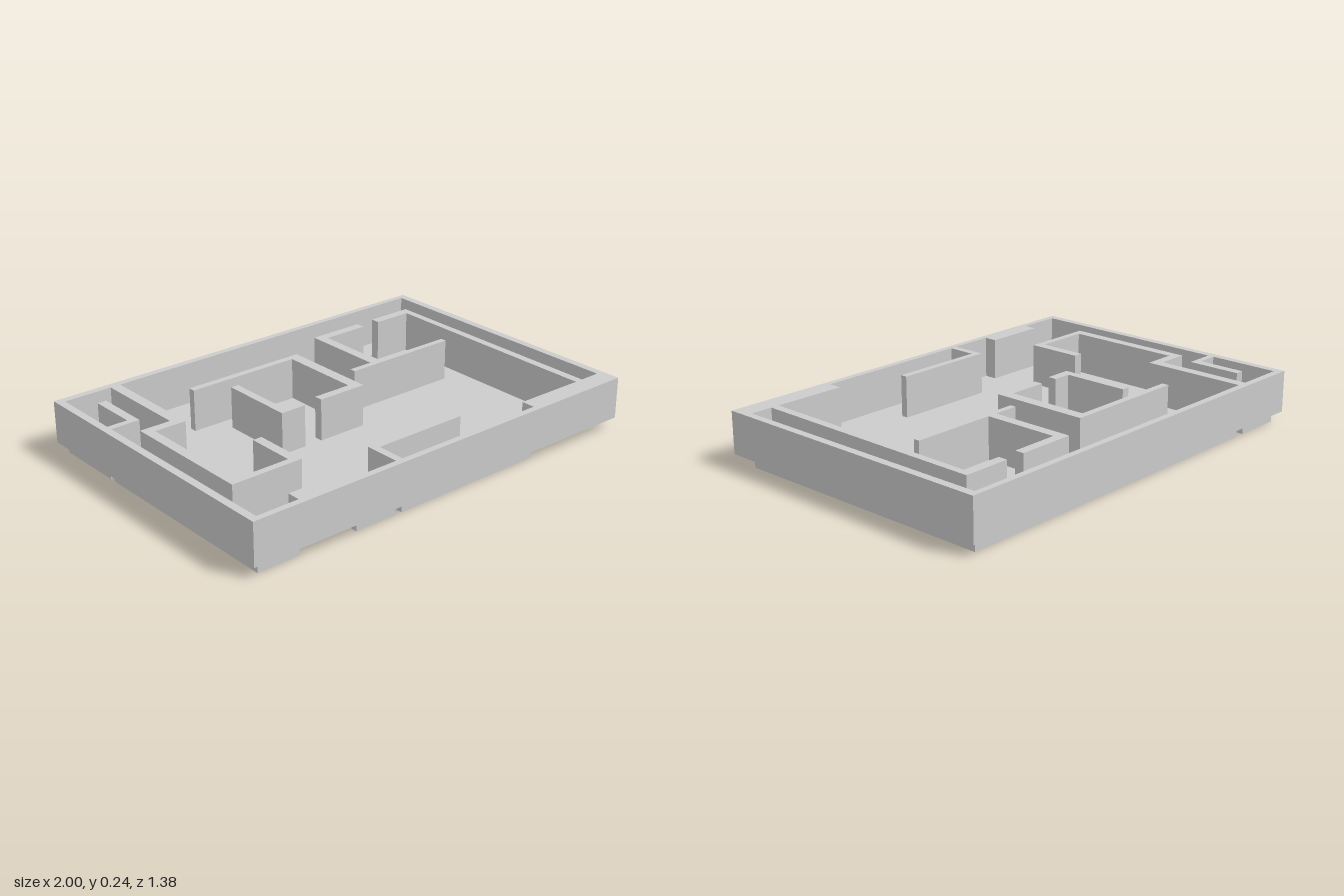
import * as THREE from 'three';

const FLOOR_TOP = 0.047;
const WALL_TOP = 0.238;

// Plan outlines as x, z pairs
const outer = [-1, 0.687, 1, 0.69, 0.994, -0.688, -1, -0.69];

// Edge of the floor, winding around every wall that grows out of the rim
const floorEdge = [
  // back left corner and long folded wall
  -0.965, -0.657, -0.74, -0.657, -0.74, -0.211, -0.885, -0.211, -0.885, 0.408, -0.548, 0.408,
  -0.548, 0.152, -0.591, 0.152, -0.591, 0.376, -0.84, 0.376, -0.84, -0.168, -0.692, -0.168,
  -0.692, -0.657,
  // back and right sides, with the long right wall
  0.958, -0.66, 0.965, 0.6, 0.865, 0.6, 0.868, -0.532,
  0.65, -0.532, 0.65, -0.489, 0.834, -0.489, 0.826, 0.6,
  // front side with its thick blocks and L-shaped wall
  0.494, 0.596, 0.494, 0.659, -0.249, 0.659, -0.249, 0.527, 0.197, 0.527, 0.197, 0.495,
  -0.283, 0.495, -0.283, 0.659, -0.485, 0.659, -0.485, 0.6, -0.768, 0.6, -0.768, 0.659,
  // left side with its small hooked wall
  -0.965, 0.659, -0.965, -0.3, -0.829, -0.3, -0.829, -0.553, -0.87, -0.553, -0.87, -0.329,
  -0.965, -0.329,
];

const islands = {
  centreHookWall: [
    -0.488, -0.43, 0.103, -0.43, 0.103, 0.028, -0.134, 0.028,
    -0.134, -0.012, 0.051, -0.012, 0.051, -0.398, -0.488, -0.398,
  ],
  centreCornerWall: [
    -0.345, -0.323, -0.307, -0.323, -0.307, -0.014, -0.222, -0.014, -0.222, 0.028, -0.345, 0.028,
  ],
  rightRoomWall: [
    0.291, -0.532, 0.558, -0.532, 0.558, -0.489, 0.337, -0.489, 0.337, -0.139,
    0.73, -0.139, 0.73, -0.111, 0.174, -0.111, 0.174, -0.139, 0.291, -0.139,
  ],
};

const toPoints = (flat) => {
  const points = [];
  for (let i = 0; i < flat.length; i += 2) points.push(new THREE.Vector2(flat[i], flat[i + 1]));
  return points;
};

const makeShape = (outline, holes) => {
  const shape = new THREE.Shape(toPoints(outline));
  shape.holes = holes.map((hole) => new THREE.Path(toPoints(hole)));
  return shape;
};

// Upright band of flat quads following a closed outline, from the ground to the floor
const bandGeometry = (flat) => {
  const points = toPoints(flat);
  const positions = [];
  points.forEach((a, i) => {
    const b = points[(i + 1) % points.length];
    positions.push(a.x, 0, a.y, a.x, FLOOR_TOP, a.y, b.x, FLOOR_TOP, b.y);
    positions.push(a.x, 0, a.y, b.x, FLOOR_TOP, b.y, b.x, 0, b.y);
  });
  const geometry = new THREE.BufferGeometry();
  geometry.setAttribute('position', new THREE.Float32BufferAttribute(positions, 3));
  geometry.computeVertexNormals();
  return geometry;
};

export function createModel() {
  const group = new THREE.Group();
  const solid = new THREE.MeshStandardMaterial({ color: 0xcccccc, flatShading: true });
  const thin = new THREE.MeshStandardMaterial({
    color: 0xcccccc, flatShading: true, side: THREE.DoubleSide,
  });

  const add = (name, geometry, material) => {
    const mesh = new THREE.Mesh(geometry, material);
    mesh.name = name;
    group.add(mesh);
  };

  // Wall block standing on the floor level
  const addWall = (name, outline, holes) => {
    const depth = WALL_TOP - FLOOR_TOP;
    const geometry = new THREE.ExtrudeGeometry(makeShape(outline, holes), { depth, bevelEnabled: false });
    add(name, geometry.rotateX(Math.PI / 2).translate(0, WALL_TOP, 0), solid);
  };

  // Thin floor sheet, open underneath
  const floor = new THREE.ShapeGeometry(makeShape(floorEdge, Object.values(islands)));
  add('floor', floor.rotateX(Math.PI / 2).translate(0, FLOOR_TOP, 0), thin);

  // Skirt hanging from the floor edge, and the rim with its attached walls
  add('floorSkirt', bandGeometry(floorEdge), thin);
  addWall('rimAndAttachedWalls', outer, [floorEdge]);

  // Free-standing walls, each with a skirt below the floor
  for (const [name, outline] of Object.entries(islands)) {
    addWall(name, outline, []);
    add(name + 'Skirt', bandGeometry(outline), thin);
  }

  return group;
}
